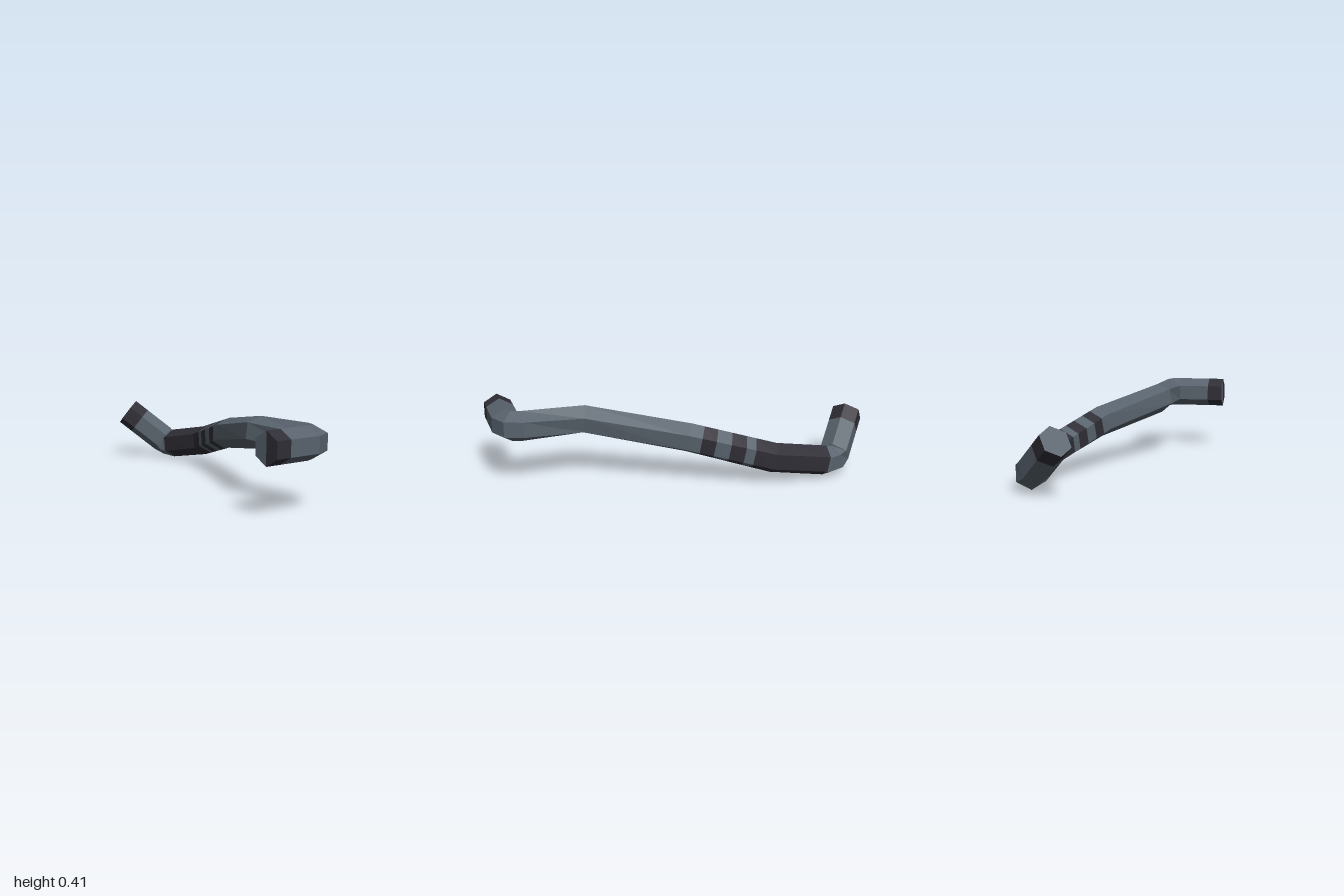
import * as THREE from 'three';

const SIDES = 6, RADIUS = 0.083;

const slate = new THREE.MeshStandardMaterial({ color: 0x59636d });
slate.name = 'slate grey';
const dark = new THREE.MeshStandardMaterial({ color: 0x302e36 });
dark.name = 'worn dark grey';

const V = (x, y, z) => new THREE.Vector3(x, y, z);

// Key points of the bar: position, plane of the ring (in / out / mid), twist
const keys = [
  { p: V(0.928, 0.327, 0.397), face: 'out' },
  { p: V(0.928, 0.327, 0.13), face: 'in' },
  { p: V(0.906, 0.327, 0.084), face: 'mid' },
  { p: V(0.855, 0.327, 0.066), face: 'out' },
  { p: V(0.52, 0.327, 0.073), face: 'mid', twist: 0.18 },
  { p: V(0.01, 0.246, -0.166), face: 'mid', twist: 0.08 },
  { p: V(-0.405, 0.14, -0.325), face: 'mid' },
  { p: V(-0.715, 0.086, -0.325), face: 'in' },
  { p: V(-0.755, 0.092, -0.314), face: 'mid' },
  { p: V(-0.782, 0.111, -0.296), face: 'out' },
  { p: V(-0.927, 0.277, -0.138), face: 'in' },
];

// Colour bands inside each stretch: [end fraction, material, name]
const bands = [
  [[0.32, dark, 'frontArmTip'], [1, slate, 'frontArm']],
  [[1, slate, 'frontBendOuter']],
  [[1, slate, 'frontBendInner']],
  [[1, slate, 'upperBar']],
  [[1, slate, 'slopingBar']],
  [[0.15, slate, 'middleBar'], [0.31, dark, 'darkStripe'], [0.48, slate, 'paleStripe'],
    [0.65, dark, 'darkStripe'], [0.76, slate, 'paleStripe'], [1, dark, 'middleBarEnd']],
  [[0.96, dark, 'lowerBar'], [1, slate, 'lowerBarEnd']],
  [[1, slate, 'rearBendInner']],
  [[1, slate, 'rearBendOuter']],
  [[0.66, slate, 'rearArm'], [1, dark, 'rearArmTip']],
];

// Six corners of the ring at key i
function ring(i) {
  const { p, face, twist = 0 } = keys[i];
  const before = i > 0 ? p.clone().sub(keys[i - 1].p).normalize() : V(0, 0, 0);
  const after = i < keys.length - 1 ? keys[i + 1].p.clone().sub(p).normalize() : V(0, 0, 0);
  const n = face === 'in' ? before : face === 'out' ? after : before.add(after).normalize();
  const up = V(0, 1, 0).addScaledVector(n, -n.y).normalize();
  const side = n.clone().cross(up);
  return Array.from({ length: SIDES }, (_, k) => {
    const a = (k / SIDES) * Math.PI * 2 + twist;
    return p.clone().addScaledVector(up, RADIUS * Math.cos(a)).addScaledVector(side, RADIUS * Math.sin(a));
  });
}

// Faceted mesh from a list of triangle corners
function facets(name, points, material) {
  const geometry = new THREE.BufferGeometry().setFromPoints(points);
  geometry.computeVertexNormals();
  const mesh = new THREE.Mesh(geometry, material);
  mesh.name = name;
  return mesh;
}

function tube(a, b) {
  const out = [];
  for (let k = 0; k < SIDES; k++) {
    const m = (k + 1) % SIDES;
    out.push(a[k], a[m], b[m], a[k], b[m], b[k]);
  }
  return out;
}

function cap(centre, r, from, to, flip) {
  const out = [];
  for (let k = from; k < to; k++) {
    const m = (k + 1) % SIDES;
    out.push(centre, flip ? r[m] : r[k], flip ? r[k] : r[m]);
  }
  return out;
}

export function createModel() {
  const group = new THREE.Group();
  group.name = 'bentBar';
  const rings = keys.map((_, i) => ring(i));

  // Hexagonal bar, stretch by stretch
  bands.forEach((list, i) => {
    const at = (t) => rings[i].map((v, k) => v.clone().lerp(rings[i + 1][k], t));
    let start = 0;
    for (const [end, material, name] of list) {
      group.add(facets(name, tube(at(start), at(end)), material));
      start = end;
    }
  });

  // End faces
  const last = keys.length - 1;
  group.add(facets('frontEndDarkHalf', cap(keys[0].p, rings[0], 0, 3, true), dark));
  group.add(facets('frontEndPaleHalf', cap(keys[0].p, rings[0], 3, 6, true), slate));
  group.add(facets('rearEnd', cap(keys[last].p, rings[last], 0, 6, false), slate));
  return group;
}
